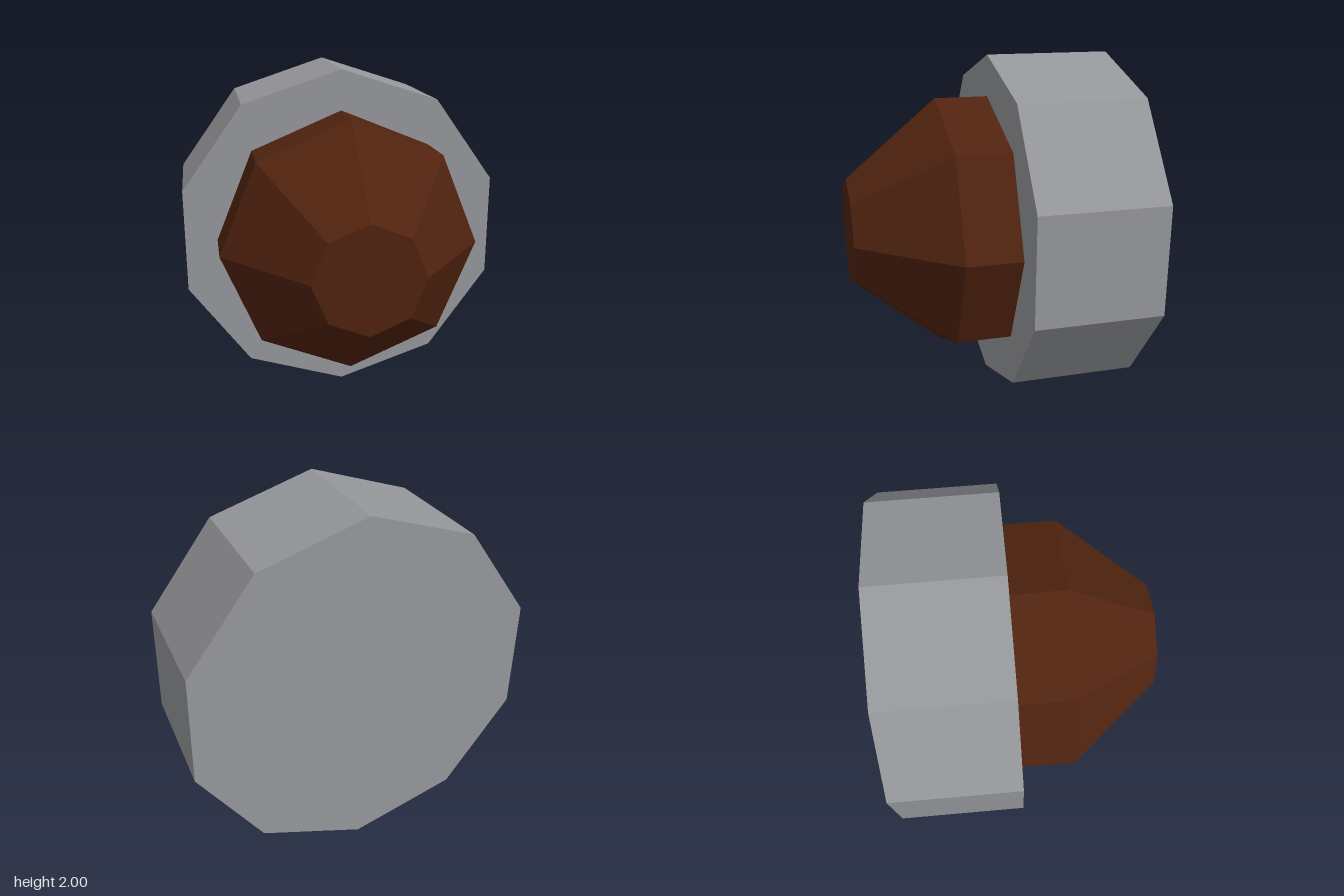
import * as THREE from 'three';

const grey = new THREE.MeshStandardMaterial({ name: 'grey metal', color: 0x96979b, flatShading: true });
const brown = new THREE.MeshStandardMaterial({ name: 'dark brown', color: 0x50230f, flatShading: true });

// Faceted drum along z, with a corner pointing straight up
function drum(name, material, sides, backRadius, frontRadius, zBack, zFront, open = false) {
  const geometry = new THREE.CylinderGeometry(frontRadius, backRadius, zFront - zBack, sides, 1, open);
  geometry.rotateX(Math.PI / 2);
  const mesh = new THREE.Mesh(geometry, material);
  mesh.name = name;
  mesh.position.set(0, 1, (zBack + zFront) / 2);
  return mesh;
}

export function createModel() {
  const model = new THREE.Group();
  model.name = 'knob';

  // Ten-sided base at the back
  model.add(drum('base', grey, 10, 1, 1, -0.79, -0.055));

  // Eight-sided grip: straight collar, then a tapered nose with a flat tip
  const grip = new THREE.Group();
  grip.name = 'grip';
  grip.add(drum('collar', brown, 8, 0.76, 0.76, -0.055, 0.26, true));
  const nose = drum('nose', brown, 8, 0.76, 0.315, 0.26, 0.79, true);
  const tip = new THREE.Mesh(new THREE.CircleGeometry(0.315, 8), brown);
  tip.name = 'tip';
  tip.position.set(0, 1, 0.79);
  grip.add(nose, tip);
  model.add(grip);

  return model;
}
